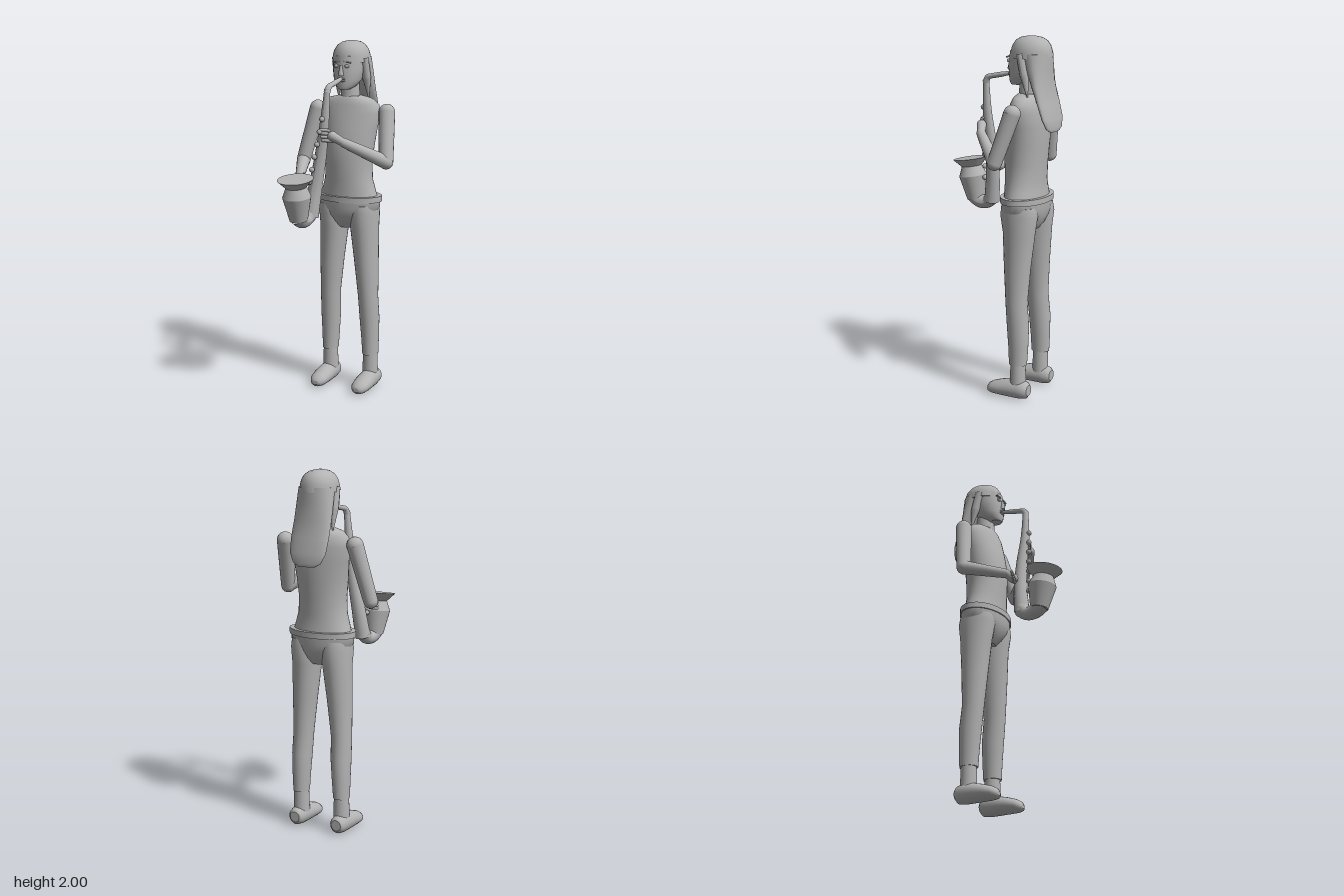
import * as THREE from 'three';

const clay = new THREE.MeshStandardMaterial({ color: 0xb3b3b3 });
clay.name = 'clay grey';

const V = (x, y, z) => new THREE.Vector3(x, y, z);

function add(parent, name, geometry, x = 0, y = 0, z = 0) {
  const m = new THREE.Mesh(geometry, clay);
  m.name = name;
  m.position.set(x, y, z);
  parent.add(m);
  return m;
}

// Closed skin over elliptical rings [y, halfWidth, centreZ, halfDepth, centreX], bottom to top
function loft(rings, n = 24) {
  const pos = [], idx = [];
  const ring = ([y, hx, cz, hz, cx = 0]) => {
    for (let i = 0; i < n; i++) {
      const a = (i / n) * Math.PI * 2;
      pos.push(cx + hx * Math.cos(a), y, cz + hz * Math.sin(a));
    }
  };
  rings.forEach(ring);
  for (let j = 0; j < rings.length - 1; j++)
    for (let i = 0; i < n; i++) {
      const a = j * n + i, b = j * n + ((i + 1) % n);
      idx.push(a, a + n, b, b, a + n, b + n);
    }
  for (const top of [false, true]) {
    const r = top ? rings[rings.length - 1] : rings[0];
    const start = pos.length / 3;
    ring(r);
    pos.push(r[4] || 0, r[0], r[2]);
    for (let i = 0; i < n; i++) {
      const a = start + i, b = start + ((i + 1) % n);
      idx.push(start + n, top ? b : a, top ? a : b);
    }
  }
  const g = new THREE.BufferGeometry();
  g.setAttribute('position', new THREE.Float32BufferAttribute(pos, 3));
  g.setIndex(idx);
  g.computeVertexNormals();
  return g;
}

// Tube whose radius follows a list of radii along the path
function taperTube(points, radii, seg = 24, sides = 16) {
  const curve = new THREE.CatmullRomCurve3(points);
  const g = new THREE.TubeGeometry(curve, seg, 1, sides);
  const p = g.attributes.position, v = V(0, 0, 0);
  for (let i = 0; i <= seg; i++) {
    const c = curve.getPointAt(i / seg);
    const t = (i / seg) * (radii.length - 1), k = Math.min(Math.floor(t), radii.length - 2);
    const r = THREE.MathUtils.lerp(radii[k], radii[k + 1], t - k);
    for (let j = 0; j <= sides; j++) {
      const id = i * (sides + 1) + j;
      v.fromBufferAttribute(p, id).sub(c).multiplyScalar(r).add(c);
      p.setXYZ(id, v.x, v.y, v.z);
    }
  }
  g.computeVertexNormals();
  return g;
}

// Tapered cylinder between two points
function limb(parent, name, a, b, ra, rb) {
  const m = add(parent, name, new THREE.CylinderGeometry(rb, ra, a.distanceTo(b), 16));
  m.position.copy(a).add(b).multiplyScalar(0.5);
  m.quaternion.setFromUnitVectors(V(0, 1, 0), b.clone().sub(a).normalize());
  return m;
}

const ball = (parent, name, p, r) => add(parent, name, new THREE.SphereGeometry(r, 16, 12), p.x, p.y, p.z);

function buildArm(parent, side, shoulder, elbow, wrist, knuckles, fingerStep, fingerDir) {
  const arm = new THREE.Group();
  arm.name = side + 'Arm';
  parent.add(arm);
  ball(arm, 'shoulder', shoulder, 0.046);
  limb(arm, 'upperArm', shoulder, elbow, 0.046, 0.04);
  ball(arm, 'elbow', elbow, 0.04);
  limb(arm, 'forearm', elbow, wrist, 0.039, 0.026);
  ball(arm, 'wrist', wrist, 0.026);
  limb(arm, 'palm', wrist, knuckles, 0.022, 0.027);
  ball(arm, 'knuckles', knuckles, 0.027);
  for (let i = 0; i < 4; i++) {
    const a = knuckles.clone().addScaledVector(fingerStep, i - 1.5);
    const b = a.clone().add(fingerDir);
    limb(arm, 'finger', a, b, 0.01, 0.008);
    ball(arm, 'fingertip', b, 0.008);
  }
}

function buildHead(body) {
  const head = new THREE.Group();
  head.name = 'head';
  body.add(head);
  add(head, 'neck', new THREE.CylinderGeometry(0.05, 0.056, 0.13, 20), 0, 1.72, -0.18);
  add(head, 'face', loft([[1.738, 0.032, -0.11, 0.036], [1.755, 0.055, -0.132, 0.064], [1.79, 0.076, -0.152, 0.086],
    [1.85, 0.087, -0.164, 0.099], [1.92, 0.088, -0.175, 0.1]]));
  add(head, 'nose', loft([[1.815, 0.017, -0.068, 0.018], [1.825, 0.015, -0.067, 0.019], [1.87, 0.007, -0.068, 0.009]], 8));
  for (const y of [1.787, 1.798]) add(head, 'lip', new THREE.SphereGeometry(1, 12, 8).scale(0.024, 0.007, 0.01), 0, y, -0.069);
  for (const s of [-1, 1]) {
    add(head, 'eye', new THREE.SphereGeometry(1, 12, 8).scale(0.014, 0.01, 0.008), s * 0.033, 1.866, -0.072);
    add(head, 'eyebrow', new THREE.BoxGeometry(0.042, 0.006, 0.012), s * 0.034, 1.888, -0.074).rotation.z = -s * 0.1;
    add(head, 'sideLock', taperTube([V(s * 0.085, 1.91, -0.175), V(s * 0.09, 1.8, -0.2), V(s * 0.094, 1.685, -0.222)],
      [0.025, 0.024, 0.004]));
  }
  add(head, 'hairCap', loft([[1.885, 0.104, -0.195, 0.116], [1.92, 0.102, -0.195, 0.115], [1.95, 0.093, -0.195, 0.106],
    [1.975, 0.076, -0.195, 0.09], [1.992, 0.05, -0.195, 0.062], [2, 0.016, -0.195, 0.02]]));
  add(head, 'backHair', loft([[1.5, 0.05, -0.337, 0.009], [1.52, 0.085, -0.333, 0.018], [1.57, 0.11, -0.322, 0.025],
    [1.65, 0.115, -0.298, 0.03], [1.74, 0.112, -0.268, 0.042], [1.83, 0.107, -0.245, 0.064], [1.91, 0.1, -0.225, 0.084]]));
}

function buildSaxophone(parent) {
  const sax = new THREE.Group();
  sax.name = 'saxophone';
  parent.add(sax);
  add(sax, 'mouthpiece', taperTube([V(0.017, 1.797, -0.07), V(0.018, 1.785, -0.01), V(0.018, 1.772, 0.055)], [0.01, 0.014, 0.014]));
  add(sax, 'neckBend', taperTube([V(0.018, 1.775, 0.04), V(0.017, 1.765, 0.075), V(0.014, 1.735, 0.093)], [0.013, 0.016, 0.019]));
  add(sax, 'bodyTube', taperTube([V(0.015, 1.755, 0.089), V(0, 1.58, 0.092), V(-0.03, 1.38, 0.085),
    V(-0.06, 1.2, 0.093), V(-0.078, 1.05, 0.11)], [0.016, 0.025, 0.032, 0.038, 0.044]));
  add(sax, 'bow', taperTube([V(-0.078, 1.075, 0.105), V(-0.083, 1.04, 0.145), V(-0.088, 1.042, 0.195),
    V(-0.09, 1.075, 0.235)], [0.043, 0.036, 0.042, 0.05]));
  // Bell built from stacked cones, leaning forward
  const bell = new THREE.Group();
  bell.name = 'bell';
  bell.position.set(-0.09, 1.282, 0.258);
  bell.rotation.x = 0.15;
  sax.add(bell);
  const profile = [[-0.235, 0.05], [-0.1, 0.079], [-0.045, 0.057], [0, 0.1]];
  for (let i = 0; i < 3; i++) {
    const [y0, r0] = profile[i], [y1, r1] = profile[i + 1];
    add(bell, i === 2 ? 'bellFlare' : 'bellSection', new THREE.CylinderGeometry(r1, r0, y1 - y0, 28), 0, (y0 + y1) / 2, 0);
  }
  for (let i = 0; i < 7; i++) ball(sax, 'key', V(-0.002 - i * 0.0125, 1.595 - i * 0.069, 0.118 + i * 0.006), 0.015);
}

export function createModel() {
  const model = new THREE.Group();
  model.name = 'saxophonePlayer';
  const body = new THREE.Group();
  body.name = 'body';
  body.position.x = 0.017;
  model.add(body);

  add(body, 'torso', loft([[1.1, 0.18, -0.172, 0.11], [1.17, 0.16, -0.168, 0.106], [1.23, 0.142, -0.166, 0.106],
    [1.32, 0.137, -0.166, 0.112], [1.42, 0.148, -0.17, 0.115], [1.52, 0.162, -0.183, 0.108], [1.6, 0.178, -0.192, 0.096],
    [1.65, 0.17, -0.193, 0.084], [1.68, 0.135, -0.19, 0.072], [1.697, 0.07, -0.185, 0.055]], 32));
  add(body, 'belt', loft([[1.108, 0.196, -0.172, 0.127], [1.14, 0.196, -0.172, 0.127]], 32));
  add(body, 'pelvis', loft([[0.952, 0.07, -0.175, 0.06], [0.985, 0.098, -0.174, 0.09], [1.03, 0.152, -0.172, 0.11],
    [1.07, 0.184, -0.172, 0.118], [1.11, 0.188, -0.172, 0.12]], 32));

  for (const s of [-1, 1]) {
    const leg = new THREE.Group();
    leg.name = s > 0 ? 'leftLeg' : 'rightLeg';
    body.add(leg);
    add(leg, 'trouserLeg', loft([[0.2, 0.045, -0.192, 0.052, s * 0.13], [0.3, 0.05, -0.192, 0.057, s * 0.128],
      [0.42, 0.056, -0.188, 0.063, s * 0.125], [0.55, 0.057, -0.176, 0.062, s * 0.121], [0.75, 0.068, -0.175, 0.076, s * 0.11],
      [0.95, 0.079, -0.177, 0.093, s * 0.096], [1.04, 0.084, -0.175, 0.108, s * 0.094], [1.09, 0.08, -0.173, 0.1, s * 0.094]]));
    add(leg, 'ankle', new THREE.CylinderGeometry(0.042, 0.046, 0.14, 20), s * 0.13, 0.145, -0.192);
    // Foot rings run from heel to toe, then are laid down along z
    add(leg, 'foot', loft([[-0.262, 0.03, -0.055, 0.03], [-0.248, 0.044, -0.054, 0.047], [-0.205, 0.051, -0.056, 0.056],
      [-0.15, 0.053, -0.053, 0.053], [-0.09, 0.055, -0.046, 0.045], [-0.04, 0.049, -0.038, 0.036],
      [-0.015, 0.035, -0.033, 0.026], [-0.006, 0.015, -0.031, 0.012]]).rotateX(Math.PI / 2), s * 0.134, 0, 0);
  }

  buildHead(body);
  buildArm(model, 'left', V(0.234, 1.612, -0.2), V(0.272, 1.348, -0.115), V(0.105, 1.468, 0.068),
    V(0.05, 1.505, 0.098), V(-0.004, 0.019, 0.002), V(-0.055, 0.004, 0.022));
  buildArm(model, 'right', V(-0.2, 1.612, -0.2), V(-0.27, 1.315, -0.155), V(-0.172, 1.268, 0.06),
    V(-0.13, 1.25, 0.085), V(-0.002, 0.016, -0.004), V(-0.04, -0.004, 0.018));
  buildSaxophone(model);
  return model;
}
